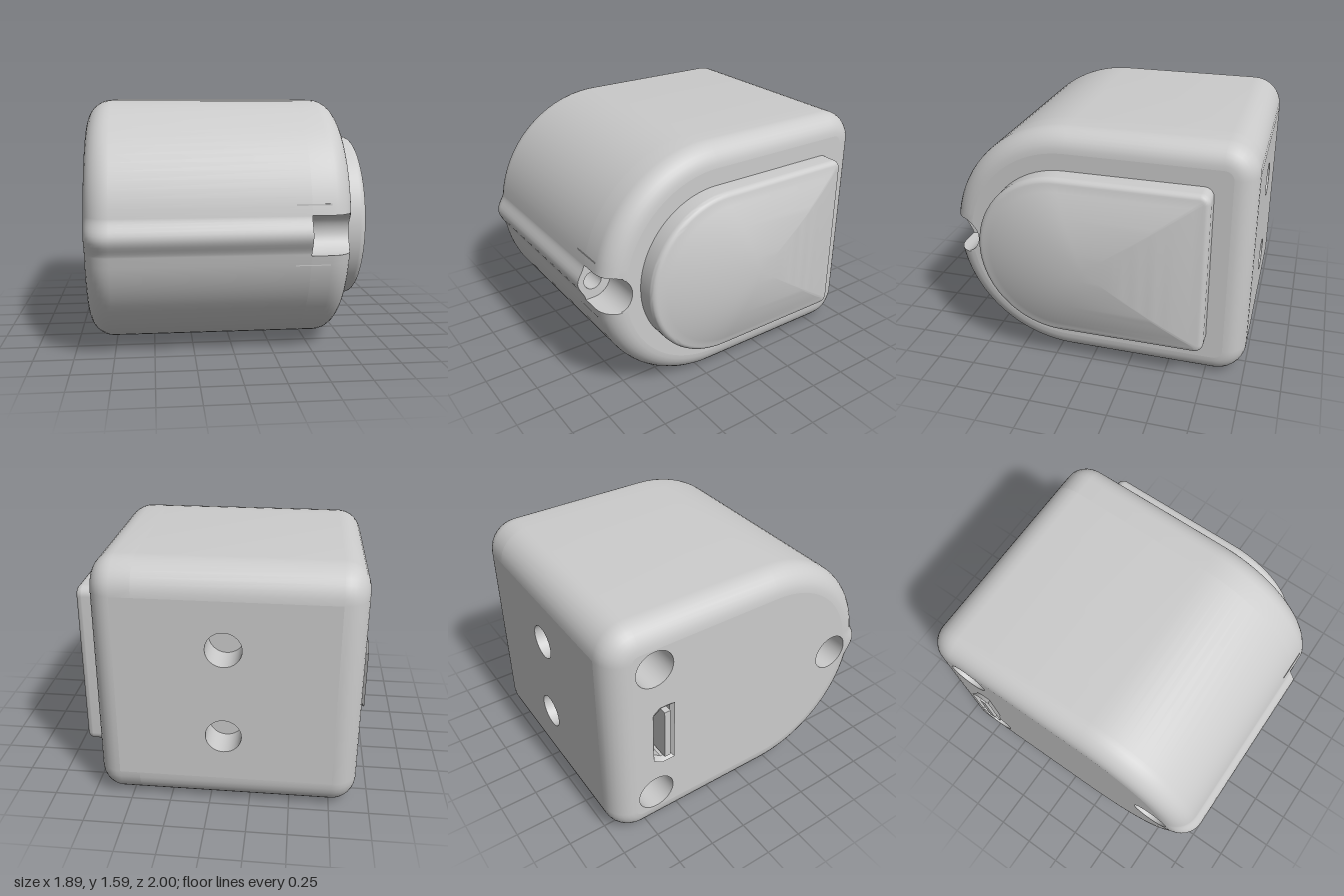
import * as THREE from 'three';
import { toCreasedNormals } from 'three/addons/utils/BufferGeometryUtils.js';

const MID = 0.7925, POCKET = 0.122, POCKET_Z = 0.9, POCKET_X = 0.44;
const LEFT_X = -0.915, RIGHT_X = 0.705, LEFT_R = 0.155, RIGHT_R = 0.14;
const material = new THREE.MeshStandardMaterial({ color: 0xcccccc, side: THREE.DoubleSide });

// D-shaped outline as [z, y] points: rounded back corners, half-round front; d insets it
function dOutline({ back, zc, R, rc }, d = 0, frontPoints = null) {
  const pts = [], r = R - d;
  const arc = (cz, cy, rad, a0, a1, n) => {
    for (let k = 0; k <= n; k++) {
      const a = a0 + (a1 - a0) * k / n;
      pts.push([cz + rad * Math.cos(a), cy + rad * Math.sin(a)]);
    }
  };
  const gap = frontPoints ? Math.asin(POCKET / r) : 0;
  arc(back + rc, MID - R + rc, rc - d, Math.PI, Math.PI * 1.5, 8);
  arc(zc, MID, r, -Math.PI / 2, -gap, 20);
  if (frontPoints) pts.push(...frontPoints(zc, r));
  arc(zc, MID, r, gap, Math.PI / 2, 20);
  arc(back + rc, MID + R - rc, rc - d, Math.PI / 2, Math.PI, 8);
  return pts;
}

// Front strip of the body: a raised spine, or the round pocket that interrupts it
const strip = (depth) => (zc, r) => Array.from({ length: 17 }, (_, k) => {
  const y = -POCKET * Math.cos(Math.PI * k / 16);
  return [depth(zc + Math.sqrt(r * r - y * y), y), MID + y];
});
const spine = strip((z, y) => z + 0.04 * Math.cos(Math.PI * y / (2 * POCKET)) ** 2);
const pocket = strip((z, y) => Math.min(z, POCKET_Z - Math.sqrt(Math.max(0, POCKET ** 2 - y * y))));

// Surface through outlines stacked along x
function skin(rings, openBack = false) {
  const pos = [];
  for (let j = 0; j < rings.length - 1; j++) {
    const A = rings[j], B = rings[j + 1], n = A.pts.length;
    const v = (ring, i) => [ring.x, ring.pts[i][1], ring.pts[i][0]];
    for (let i = 0; i < n; i++) {
      if (openBack && i === n - 1 && !A.d && !B.d) continue;
      const m = (i + 1) % n;
      pos.push(...v(A, i), ...v(B, i), ...v(B, m), ...v(A, i), ...v(B, m), ...v(A, m));
    }
  }
  const g = new THREE.BufferGeometry();
  g.setAttribute('position', new THREE.Float32BufferAttribute(pos, 3));
  return toCreasedNormals(g, 0.6);
}

function plate(points, holes = []) {
  const shape = new THREE.Shape(points.map(([u, v]) => new THREE.Vector2(u, v)));
  for (const h of holes) {
    const path = new THREE.Path();
    if (h.pts) path.setFromPoints(h.pts.map(([u, v]) => new THREE.Vector2(u, v)));
    else path.absarc(h.u, h.v, h.r, 0, Math.PI * 2, true);
    shape.holes.push(path);
  }
  return new THREE.ShapeGeometry(shape, 16);
}

export function createModel() {
  const model = new THREE.Group();
  const add = (name, geometry, parent = model) => {
    const mesh = new THREE.Mesh(geometry, material);
    mesh.name = name;
    parent.add(mesh);
    return mesh;
  };
  const mirrorU = (pts) => pts.map(([z, y]) => [-z, y]);

  // Blind round hole: open wall and floor, sunk along -z of a local frame
  const bore = (name, u, v, r, depth, parent) => {
    const wall = new THREE.CylinderGeometry(r, r, depth, 32, 1, true).rotateX(Math.PI / 2);
    add(name + 'Wall', wall.translate(u, v, -depth / 2), parent);
    add(name + 'Floor', new THREE.CircleGeometry(r, 32).translate(u, v, -depth), parent);
  };
  // Local frame whose +z points out of a given face
  const face = (name, turn, x, z) => {
    const g = new THREE.Group();
    g.name = name;
    g.rotation.y = turn;
    g.position.set(x, 0, z);
    model.add(g);
    return g;
  };

  // Body shell with rounded ends
  const D = { back: -1, zc: 0.17, R: MID, rc: 0.2 };
  const left = [], right = [{ x: POCKET_X, d: 0, pts: dOutline(D, 0, pocket) }];
  for (let k = 0; k <= 8; k++) {
    const a = Math.PI / 2 * k / 8, c = 1 - Math.cos(a);
    const dl = k === 8 ? 0 : LEFT_R * (1 - Math.sin(a)), dr = RIGHT_R * c;
    left.push({ x: LEFT_X + LEFT_R * c, d: dl, pts: dOutline(D, dl, spine) });
    right.push({ x: RIGHT_X - RIGHT_R * (1 - Math.sin(a)), d: dr, pts: dOutline(D, dr, pocket) });
  }
  left.push({ x: POCKET_X, d: 0, pts: dOutline(D, 0, spine) });
  add('bodyShell', skin(left, true));
  add('bodyShellPocketEnd', skin(right, true));

  // Right end face
  add('rightPlate', plate(mirrorU(right.at(-1).pts)), face('rightFace', Math.PI / 2, RIGHT_X, 0));

  // Pocket floor with its small bore
  const pocketFace = face('pocketFace', Math.PI / 2, POCKET_X, 0);
  const rim = [...spine(D.zc, D.R), ...pocket(D.zc, D.R).reverse()];
  add('pocketFloor', plate(mirrorU(rim), [{ u: -POCKET_Z, v: MID, r: 0.06 }]), pocketFace);
  bore('pocketBore', -POCKET_Z, MID, 0.06, 0.2, pocketFace);

  // Left end face with three bores and the port opening
  const leftFace = face('leftFace', -Math.PI / 2, LEFT_X, 0);
  const bores = [[-0.7, MID + 0.5], [-0.7, MID - 0.5], [0.7, MID]].map(([u, v]) => ({ u, v, r: 0.125 }));
  const portOutline = (w, h) => [
    [0.5 * w, -h], [0.5 * w, h], [-0.1 * w, h], [-0.5 * w, h * 0.82], [-0.5 * w, -h * 0.82], [-0.1 * w, -h],
  ].map(([z, y]) => [z - 0.66, y + MID + 0.003]);
  const port = portOutline(0.11, 0.195);
  add('leftPlate', plate(left[0].pts, [...bores, { pts: port }]), leftFace);
  bores.forEach((b, i) => bore('endBore' + (i + 1), b.u, b.v, b.r, 0.26, leftFace));

  // Port: flared metal shell, floor and tongue
  add('portShell', skin([
    { x: LEFT_X - 0.028, pts: portOutline(0.15, 0.222) },
    { x: LEFT_X, pts: port },
    { x: LEFT_X + 0.2, pts: port },
  ]));
  add('portFloor', plate(port).translate(0, 0, -0.2), leftFace);
  add('portTongue', new THREE.BoxGeometry(0.235, 0.36, 0.04)).position.set(-0.8325, MID + 0.003, -0.64);

  // Back face with two mounting holes
  const backFace = face('backFace', Math.PI, 0, -1);
  const mounts = [-0.29, 0.29].map((dy) => ({ u: 0.09, v: MID + dy, r: 0.11 }));
  const x0 = -(RIGHT_X - RIGHT_R), x1 = -(LEFT_X + LEFT_R), y1 = 2 * MID - 0.2;
  add('backPlate', plate([[x0, 0.2], [x1, 0.2], [x1, y1], [x0, y1]], mounts), backFace);
  mounts.forEach((m, i) => bore('mountHole' + (i + 1), m.u, m.v, m.r, 0.2, backFace));

  // Thin ribs above and below the pocket
  for (const dy of [-0.18, 0.185]) {
    add('pocketRib', new THREE.BoxGeometry(0.215, 0.01, 0.03)).position.set(0.4525, MID + dy, 0.927);
  }

  // Domed side cap
  const C = { back: -0.75, zc: 0.18, R: 0.5425, rc: 0.06 };
  const cap = [{ x: RIGHT_X - 0.02, pts: dOutline(C) }];
  for (let k = 0; k <= 6; k++) {
    const a = Math.PI / 2 * k / 6;
    cap.push({ x: 0.8 + 0.04 * Math.sin(a), pts: dOutline(C, 0.04 * (1 - Math.cos(a))) });
  }
  const edge = cap.at(-1).pts;
  for (let k = 1; k <= 14; k++) {
    const s = 1 - k / 14;
    cap.push({
      x: 0.84 + 0.105 * (1 - s * s),
      pts: edge.map(([z, y]) => [-0.015 + s * (z + 0.015), MID + s * (y - MID)]),
    });
  }
  add('sideCap', skin(cap));

  return model;
}
